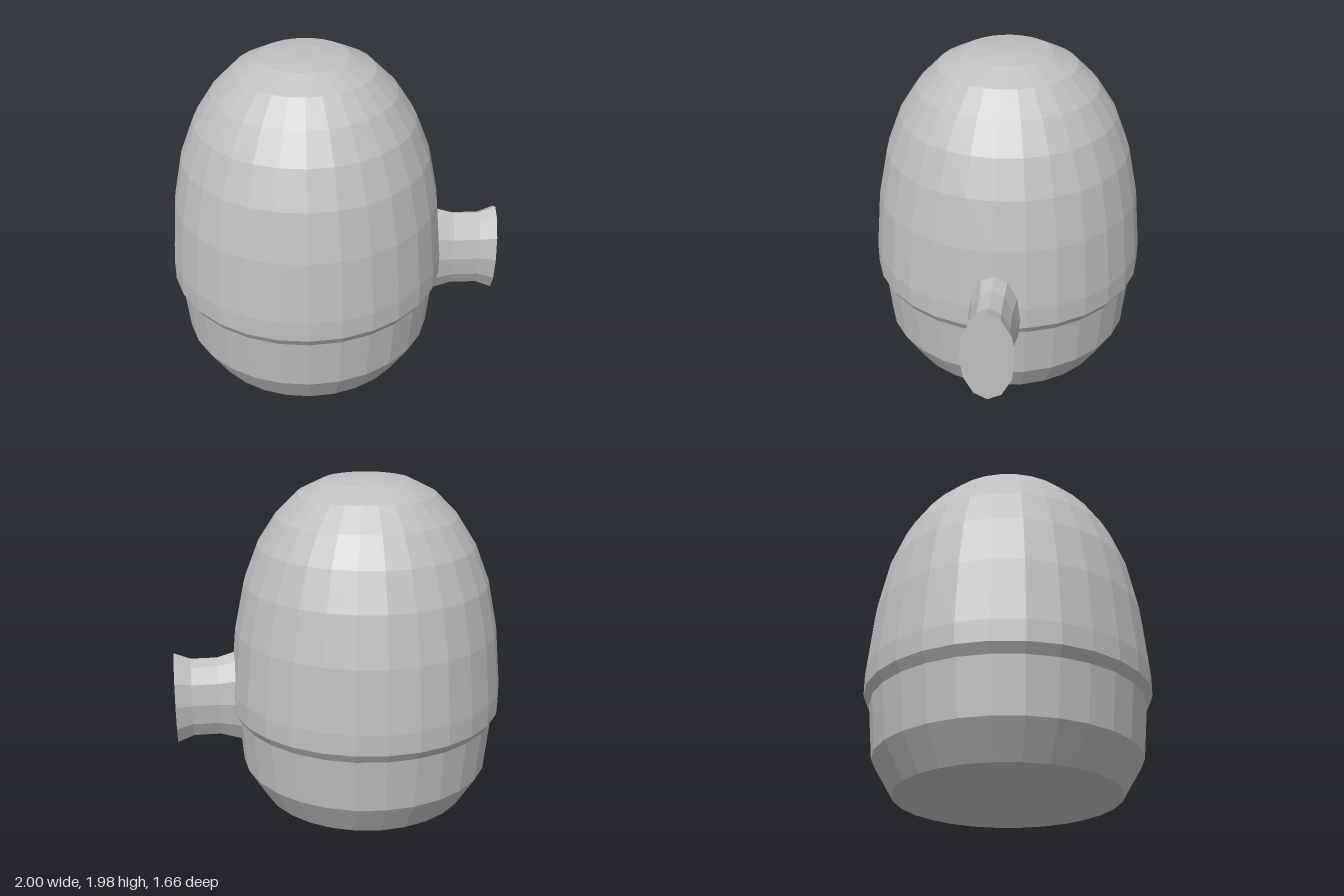
import * as THREE from 'three';

const grey = new THREE.MeshStandardMaterial({ name: 'plainGrey', color: 0xbfbfbf });

// Faceted solid of revolution from [radius, height] pairs, bottom to top
function turned(profile, sides) {
  const points = profile.map(([r, y]) => new THREE.Vector2(r, y));
  return new THREE.LatheGeometry(points, sides);
}

// Flat shading through per-face normals
function facetedMesh(name, geometry) {
  const flat = geometry.toNonIndexed();
  flat.computeVertexNormals();
  const mesh = new THREE.Mesh(flat, grey);
  mesh.name = name;
  return mesh;
}

export function createModel() {
  const model = new THREE.Group();
  model.name = 'domedBodyWithKnob';
  const bodyX = -0.17;

  // Tapered base, up to the underside of the dome's lip
  const base = facetedMesh('base', turned([
    [0, 0], [0.645, 0], [0.765, 0.2], [0.795, 0.52],
  ], 28));

  // Dome with an overhanging lip
  const dome = facetedMesh('dome', turned([
    [0.795, 0.52], [0.83, 0.575], [0.83, 0.7], [0.795, 1.07], [0.735, 1.36],
    [0.65, 1.58], [0.54, 1.75], [0.41, 1.88], [0.26, 1.955], [0.1, 1.98], [0, 1.98],
  ], 28));
  base.position.x = dome.position.x = bodyX;

  // Waisted oval knob sticking out of the left side
  const knobShape = turned([
    [0.31, 0.56], [0.255, 0.74], [0.255, 0.9], [0.295, 1], [0, 1],
  ], 12);
  knobShape.scale(1, 1, 0.53).rotateZ(-Math.PI / 2);
  const knob = facetedMesh('knob', knobShape);
  knob.position.y = 0.635;

  model.add(base, dome, knob);
  return model;
}
